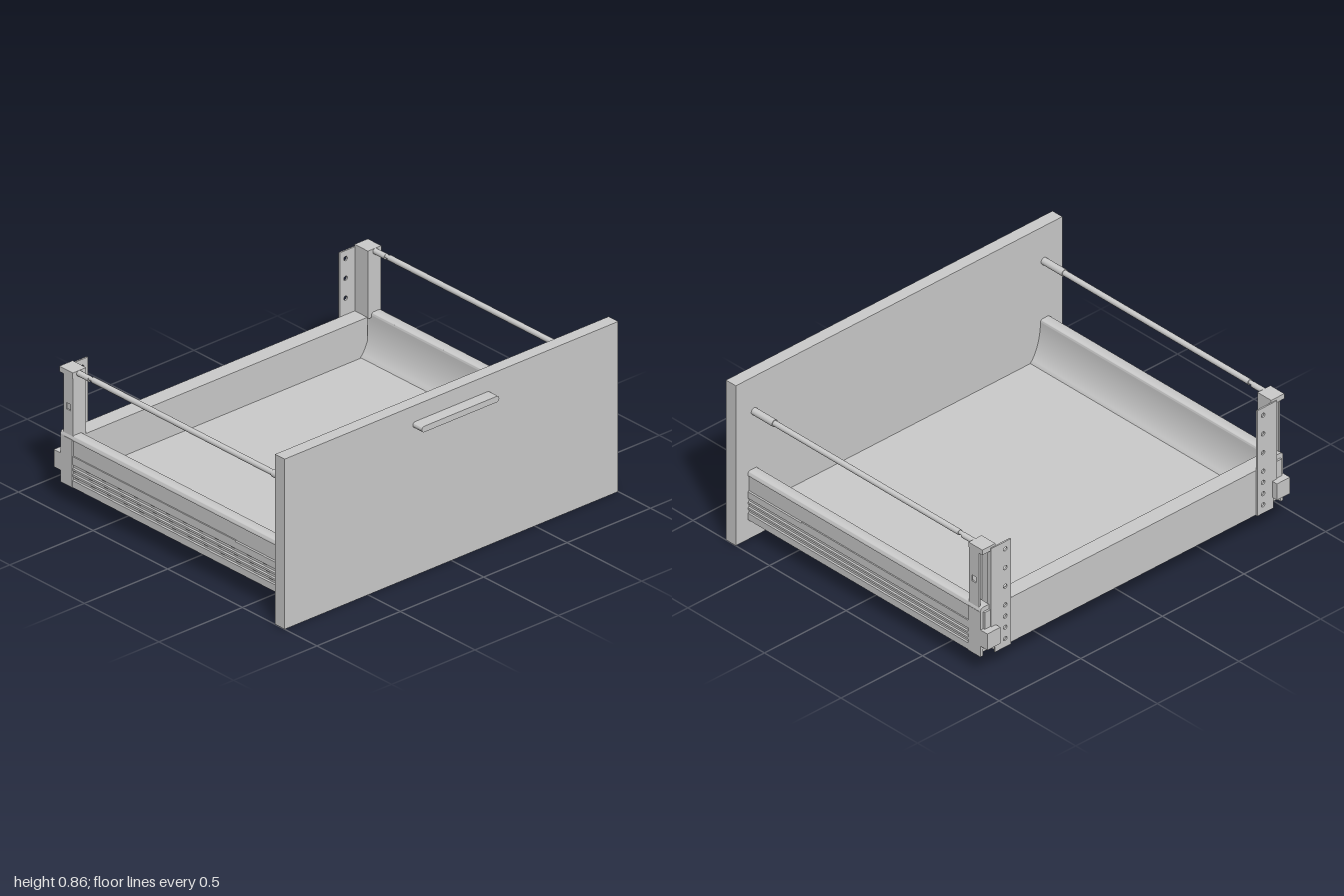
import * as THREE from 'three';
import { toCreasedNormals } from 'three/addons/utils/BufferGeometryUtils.js';

const material = new THREE.MeshStandardMaterial({ color: 0xcccccc, side: THREE.DoubleSide });

function add(parent, name, geometry) {
  const mesh = new THREE.Mesh(geometry, material);
  mesh.name = name;
  parent.add(mesh);
  return mesh;
}

// Box given by its limits on each axis
function box(parent, name, [x0, x1], [y0, y1], [z0, z1]) {
  const mesh = add(parent, name, new THREE.BoxGeometry(x1 - x0, y1 - y0, z1 - z0));
  mesh.position.set((x0 + x1) / 2, (y0 + y1) / 2, (z0 + z1) / 2);
  return mesh;
}

// Shape in x,y pushed along z from z0 to z1
function extrude(shape, z0, z1) {
  const g = new THREE.ExtrudeGeometry(shape, { depth: z1 - z0, bevelEnabled: false, curveSegments: 10 });
  g.translate(0, 0, z0);
  return toCreasedNormals(g, 0.5);
}

function rectangle(x0, x1, y0, y1) {
  return new THREE.Shape([[x0, y0], [x1, y0], [x1, y1], [x0, y1]].map(p => new THREE.Vector2(...p)));
}

// Round bar along z
function bar(parent, name, radius, x, y, z0, z1) {
  const g = new THREE.CylinderGeometry(radius, radius, z1 - z0, 24);
  g.rotateX(Math.PI / 2);
  add(parent, name, g).position.set(x, y, (z0 + z1) / 2);
}

// Hollow side profile: grooved outer skin, rounded rim, inner face flaring to the floor
function sideProfile() {
  const s = new THREE.Shape();
  s.moveTo(0.915, 0.105);
  s.lineTo(0.925, 0.105);
  for (const y of [0.15, 0.18, 0.21]) {
    s.lineTo(0.925, y - 0.01);
    s.lineTo(0.919, y - 0.005);
    s.lineTo(0.919, y + 0.005);
    s.lineTo(0.925, y + 0.01);
  }
  s.lineTo(0.925, 0.255);
  s.lineTo(0.92, 0.26);
  s.lineTo(0.92, 0.338);
  s.lineTo(0.927, 0.342);
  s.quadraticCurveTo(0.927, 0.365, 0.91, 0.365);
  s.lineTo(0.88, 0.365);
  s.quadraticCurveTo(0.867, 0.365, 0.867, 0.35);
  s.bezierCurveTo(0.865, 0.28, 0.845, 0.2, 0.805, 0.16);
  s.lineTo(0.8, 0.14);
  s.lineTo(0.915, 0.14);
  s.closePath();
  return s;
}

// Everything belonging to one side of the drawer
function buildSide(name) {
  const side = new THREE.Group();
  side.name = name;

  add(side, 'sideWall', extrude(sideProfile(), -0.8, 0.72));
  box(side, 'sideLedge', [0.918, 0.926], [0.252, 0.262], [-0.72, 0.37]);
  box(side, 'sideEndCover', [0.912, 0.928], [0.105, 0.345], [-0.8, -0.72]);

  // Runner below the wall, with its catch
  box(side, 'runner', [0.845, 0.905], [0.108, 0.145], [-0.78, 0.72]);
  box(side, 'runnerCatch', [0.79, 0.85], [0.087, 0.11], [0.02, 0.11]);

  // Rear post: channel open to the back
  box(side, 'postFront', [0.845, 0.922], [0.34, 0.66], [-0.73, -0.72]);
  box(side, 'postInner', [0.845, 0.853], [0.34, 0.66], [-0.805, -0.72]);
  const plate = rectangle(0.72, 0.785, 0.34, 0.66);
  plate.holes.push(new THREE.Path(rectangle(0.738, 0.764, 0.483, 0.515).getPoints()));
  const outer = extrude(plate, 0, 0.008);
  outer.rotateY(Math.PI / 2);
  add(side, 'postOuter', outer).position.set(0.914, 0, 0);
  box(side, 'postCap', [0.845, 0.925], [0.655, 0.682], [-0.81, -0.72]);

  // Perforated plate fixed to the back panel
  const flange = rectangle(0.755, 0.853, 0.105, 0.67);
  for (const y of [0.15, 0.21, 0.27, 0.33, 0.43, 0.53, 0.63]) {
    flange.holes.push(new THREE.Path().absarc(0.79, y, 0.011, 0, Math.PI * 2));
  }
  add(side, 'backFlange', extrude(flange, -0.816, -0.808));
  box(side, 'postRearStrip', [0.85, 0.875], [0.16, 0.67], [-0.815, -0.788]);

  // Hook block behind the post
  box(side, 'rearHook', [0.847, 0.927], [0.163, 0.25], [-0.845, -0.79]);
  box(side, 'rearHookNeck', [0.865, 0.91], [0.25, 0.34], [-0.81, -0.785]);

  // Gallery rail
  bar(side, 'railSleeve', 0.018, 0.888, 0.671, 0.585, 0.72);
  bar(side, 'rail', 0.014, 0.888, 0.671, -0.625, 0.585);
  bar(side, 'railNeck', 0.01, 0.888, 0.672, -0.66, -0.625);
  bar(side, 'railEnd', 0.014, 0.888, 0.668, -0.725, -0.645);
  return side;
}

export function createModel() {
  const model = new THREE.Group();
  model.name = 'drawer';

  // Front with its pill-shaped handle
  box(model, 'frontPanel', [-1, 1], [0, 0.857], [0.72, 0.784]);
  const pill = new THREE.Shape();
  pill.absarc(0.217, 0.76, 0.015, -Math.PI / 2, Math.PI / 2);
  pill.absarc(-0.217, 0.76, 0.015, Math.PI / 2, Math.PI * 1.5);
  add(model, 'handle', extrude(pill, 0.784, 0.845));

  // Floor and back
  box(model, 'floorPanel', [-0.805, 0.805], [0.112, 0.158], [-0.72, 0.72]);
  box(model, 'backPanel', [-0.845, 0.845], [0.108, 0.347], [-0.808, -0.724]);

  // Mirrored sides
  model.add(buildSide('leftSide'));
  const right = buildSide('rightSide');
  right.scale.x = -1;
  model.add(right);
  return model;
}
